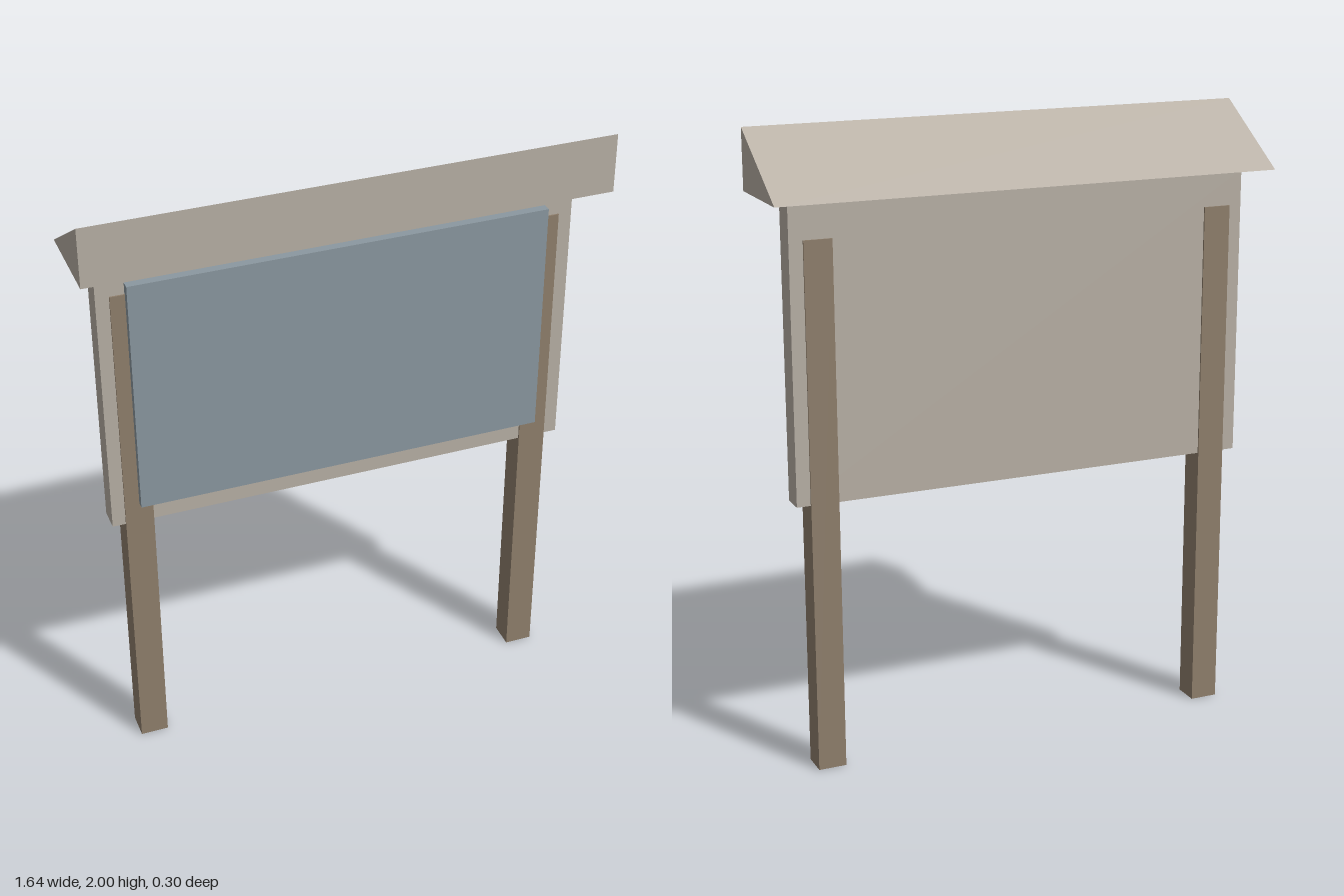
import * as THREE from 'three';

const boardMat = new THREE.MeshStandardMaterial({ color: 0xb8b0a5 });
const postMat = new THREE.MeshStandardMaterial({ color: 0x8f7f6c });
const panelMat = new THREE.MeshStandardMaterial({ color: 0x8b98a0 });

// Box given by its extents along each axis
function block(name, [x0, x1], [y0, y1], [z0, z1], material) {
  const mesh = new THREE.Mesh(new THREE.BoxGeometry(x1 - x0, y1 - y0, z1 - z0), material);
  mesh.position.set((x0 + x1) / 2, (y0 + y1) / 2, (z0 + z1) / 2);
  mesh.name = name;
  return mesh;
}

export function createModel() {
  const model = new THREE.Group();
  model.name = 'noticeBoard';

  // Two square posts, slightly deeper than the board they carry
  for (const [name, x] of [['rightPost', -0.668], ['leftPost', 0.666]]) {
    model.add(block(name, [x - 0.045, x + 0.045], [0, 1.69], [-0.061, 0.025], postMat));
  }

  // Backing board and the raised display panel on its front
  model.add(block('backBoard', [-0.755, 0.755], [0.875, 1.802], [-0.056, 0.02], boardMat));
  model.add(block('displayPanel', [-0.667, 0.664], [0.945, 1.728], [0.018, 0.048], panelMat));

  // Wedge roof: upright at the front, sloping down to the back
  const roofWidth = 1.645;
  const section = new THREE.Shape([
    new THREE.Vector2(-0.15, 1.81),
    new THREE.Vector2(0.152, 1.81),
    new THREE.Vector2(0.152, 2),
  ]);
  const roofGeometry = new THREE.ExtrudeGeometry(section, { depth: roofWidth, bevelEnabled: false });
  roofGeometry.translate(0, 0, -roofWidth / 2).rotateY(-Math.PI / 2);
  const roof = new THREE.Mesh(roofGeometry, boardMat);
  roof.name = 'roof';
  model.add(roof);

  return model;
}
